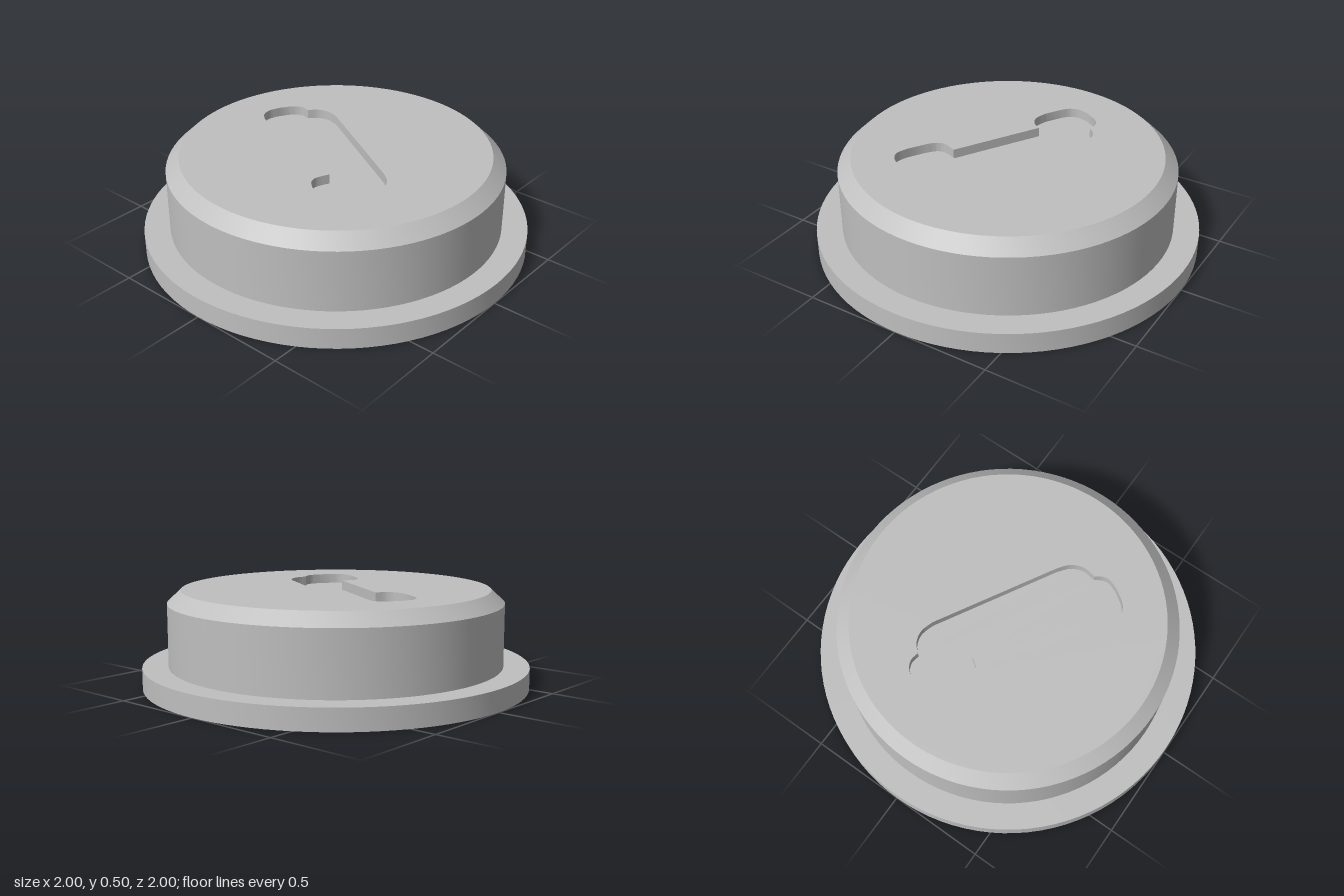
import * as THREE from 'three';
import { toCreasedNormals } from 'three/addons/utils/BufferGeometryUtils.js';

const SEGMENTS = 96;
const TOP = 0.5, TOP_RADIUS = 0.797, POCKET_DEPTH = 0.05;
const CEILING = 0.287;

// Pocket outline in plan as [x, z]; runs of two are straight edges, longer runs are curves
const pocketRuns = [
  [[-0.417, -0.25], [-0.375, -0.29], [-0.315, -0.306], [-0.246, -0.289]],
  [[-0.246, -0.289], [0.353, 0.053]],
  [[0.353, 0.053], [0.41, 0.1], [0.437, 0.165], [0.428, 0.235]],
  [[0.428, 0.235], [0.45, 0.27], [0.455, 0.31], [0.437, 0.36]],
  [[0.437, 0.36], [0.4, 0.415]],
  [[0.4, 0.415], [0.37, 0.443], [0.33, 0.455], [0.273, 0.438]],
  [[0.273, 0.438], [0.176, 0.38]],
  [[0.176, 0.38], [0.139, 0.345], [0.128, 0.3], [0.155, 0.23]],
  [[0.155, 0.23], [-0.278, -0.02]],
  [[-0.278, -0.02], [-0.315, 0.03], [-0.37, 0.048], [-0.44, 0.03]],
  [[-0.44, 0.03], [-0.524, -0.02]],
  [[-0.524, -0.02], [-0.56, -0.055], [-0.573, -0.105], [-0.558, -0.162]],
  [[-0.558, -0.162], [-0.522, -0.22]],
  [[-0.522, -0.22], [-0.495, -0.245], [-0.46, -0.257], [-0.417, -0.25]],
];

function tracePocket(path) {
  path.moveTo(pocketRuns[0][0][0], -pocketRuns[0][0][1]);
  for (const run of pocketRuns) {
    const pts = run.slice(1).map(([x, z]) => new THREE.Vector2(x, -z));
    if (pts.length === 1) path.lineTo(pts[0].x, pts[0].y);
    else path.splineThru(pts);
  }
  return path;
}

export function createModel() {
  const group = new THREE.Group();
  const grey = new THREE.MeshStandardMaterial({ color: 0xbfbfbf });
  grey.name = 'grey';

  const add = (name, geometry) => {
    const mesh = new THREE.Mesh(geometry, grey);
    mesh.name = name;
    group.add(mesh);
    return mesh;
  };

  // Hollow flanged shell: cavity ceiling, cavity wall, flange, body and chamfer
  const profile = [
    [0, CEILING], [0.724, CEILING], [0.724, 0], [1, 0], [1, 0.11],
    [0.867, 0.11], [0.867, 0.434], [TOP_RADIUS, TOP],
  ].map(([r, y]) => new THREE.Vector2(r, y));
  add('shell', toCreasedNormals(new THREE.LatheGeometry(profile, SEGMENTS), 0.5));

  // Top plate with the pocket cut through it
  const disc = new THREE.Shape();
  disc.absarc(0, 0, TOP_RADIUS, 0, Math.PI * 2, false);
  disc.holes.push(tracePocket(new THREE.Path()));
  const plate = new THREE.ExtrudeGeometry(disc, {
    depth: POCKET_DEPTH, bevelEnabled: false, curveSegments: SEGMENTS / 2,
  });
  plate.rotateX(-Math.PI / 2);
  plate.translate(0, TOP - POCKET_DEPTH, 0);
  add('topPlate', toCreasedNormals(plate, 0.5));

  // Pocket floor
  const floor = new THREE.ShapeGeometry(tracePocket(new THREE.Shape()), SEGMENTS / 2);
  floor.rotateX(-Math.PI / 2);
  floor.translate(0, TOP - POCKET_DEPTH, 0);
  add('pocketFloor', floor);

  // Central post hanging from the cavity ceiling
  const post = new THREE.CylinderGeometry(0.18, 0.18, CEILING + 0.01, 64);
  post.translate(0, (CEILING + 0.01) / 2, 0);
  add('centerPost', post);

  return group;
}
